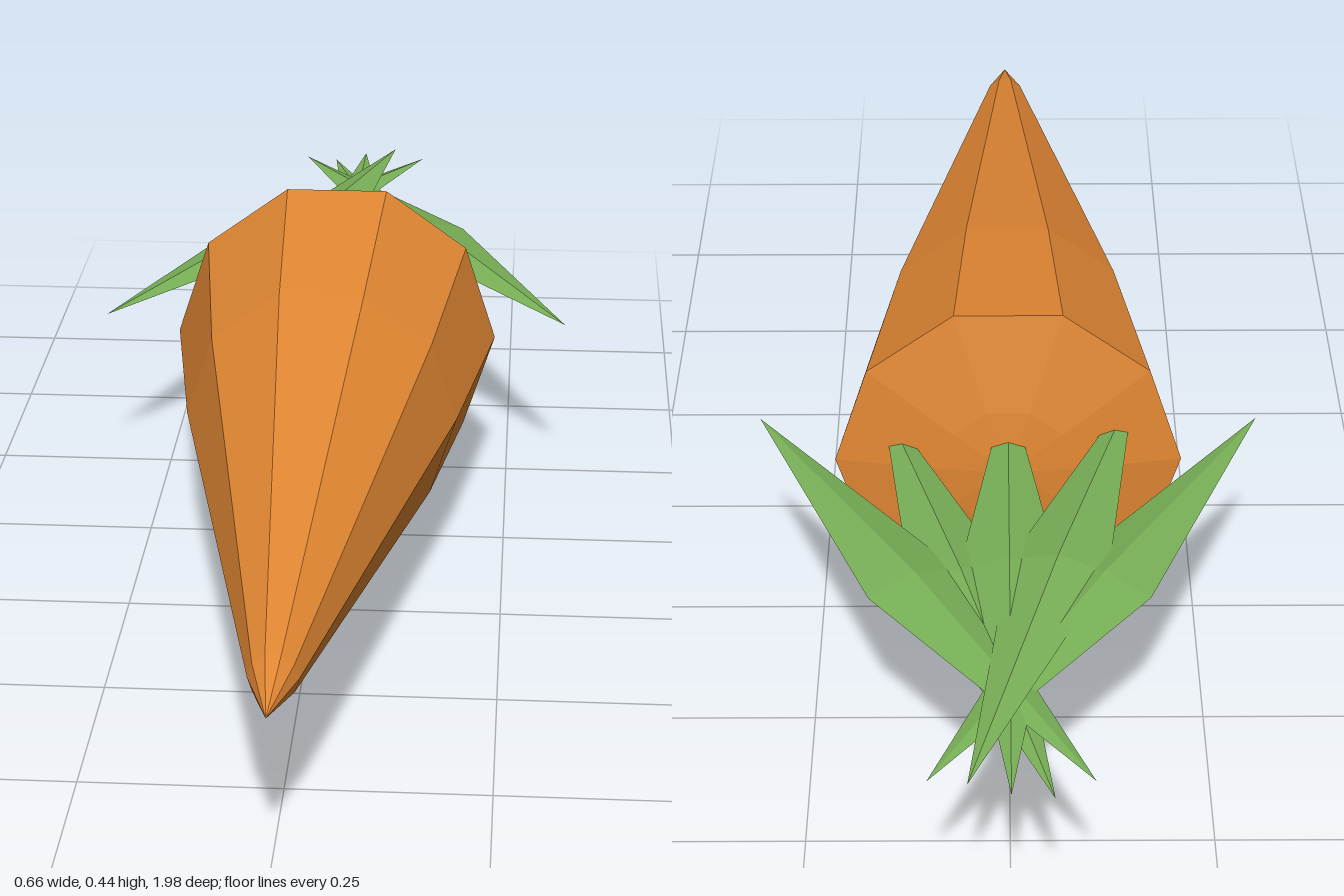
import * as THREE from 'three';

const CENTRE_Y = 0.22;

// Double pyramid with four rim corners: a long flat leaf lying along z
function leafGeometry(back, front, halfWidth, rise, drop) {
  const mid = (back + front) / 2;
  const rim = [[0, 0, front], [halfWidth, 0, mid], [0, 0, back], [-halfWidth, 0, mid]];
  const top = [0, rise, mid], bottom = [0, -drop, mid];
  const positions = [];
  for (let i = 0; i < 4; i++) {
    const a = rim[i], b = rim[(i + 1) % 4];
    positions.push(...a, ...b, ...top, ...b, ...a, ...bottom);
  }
  const geometry = new THREE.BufferGeometry();
  geometry.setAttribute('position', new THREE.Float32BufferAttribute(positions, 3));
  geometry.computeVertexNormals();
  return geometry;
}

export function createModel() {
  const model = new THREE.Group();
  model.name = 'carrot';
  const orange = new THREE.MeshStandardMaterial({ name: 'carrotOrange', color: 0xe38833, flatShading: true });
  const green = new THREE.MeshStandardMaterial({ name: 'leafGreen', color: 0x7ab258, flatShading: true });

  // Ten-sided root, tip towards the front, shallow domed crown at the back
  const profile = [[0, -0.257], [0.09, -0.247], [0.23, -0.222], [0.184, 0.1], [0.03, 0.89], [0, 0.99]]
    .map(([r, z]) => new THREE.Vector2(r, z));
  const rootGeometry = new THREE.LatheGeometry(profile, 10, Math.PI / 2);
  rootGeometry.rotateX(Math.PI / 2);
  const root = new THREE.Mesh(rootGeometry, orange);
  root.name = 'root';
  root.position.y = CENTRE_Y;
  model.add(root);

  // Five leaves fanned about a shared crossing point, the inner ones entering the crown
  const leaves = new THREE.Group();
  leaves.name = 'leaves';
  leaves.position.set(0, 0.257, -0.785);
  const geometry = leafGeometry(-0.2, 0.69, 0.063, 0.02, 0.01);
  const lifts = [0, 0.01, 0, -0.01, 0];
  lifts.forEach((lift, i) => {
    const leaf = new THREE.Mesh(geometry, green);
    leaf.name = `leaf${i + 1}`;
    leaf.rotation.y = (i - 2) * 0.25;
    leaf.position.y = lift;
    leaves.add(leaf);
  });
  model.add(leaves);
  return model;
}
